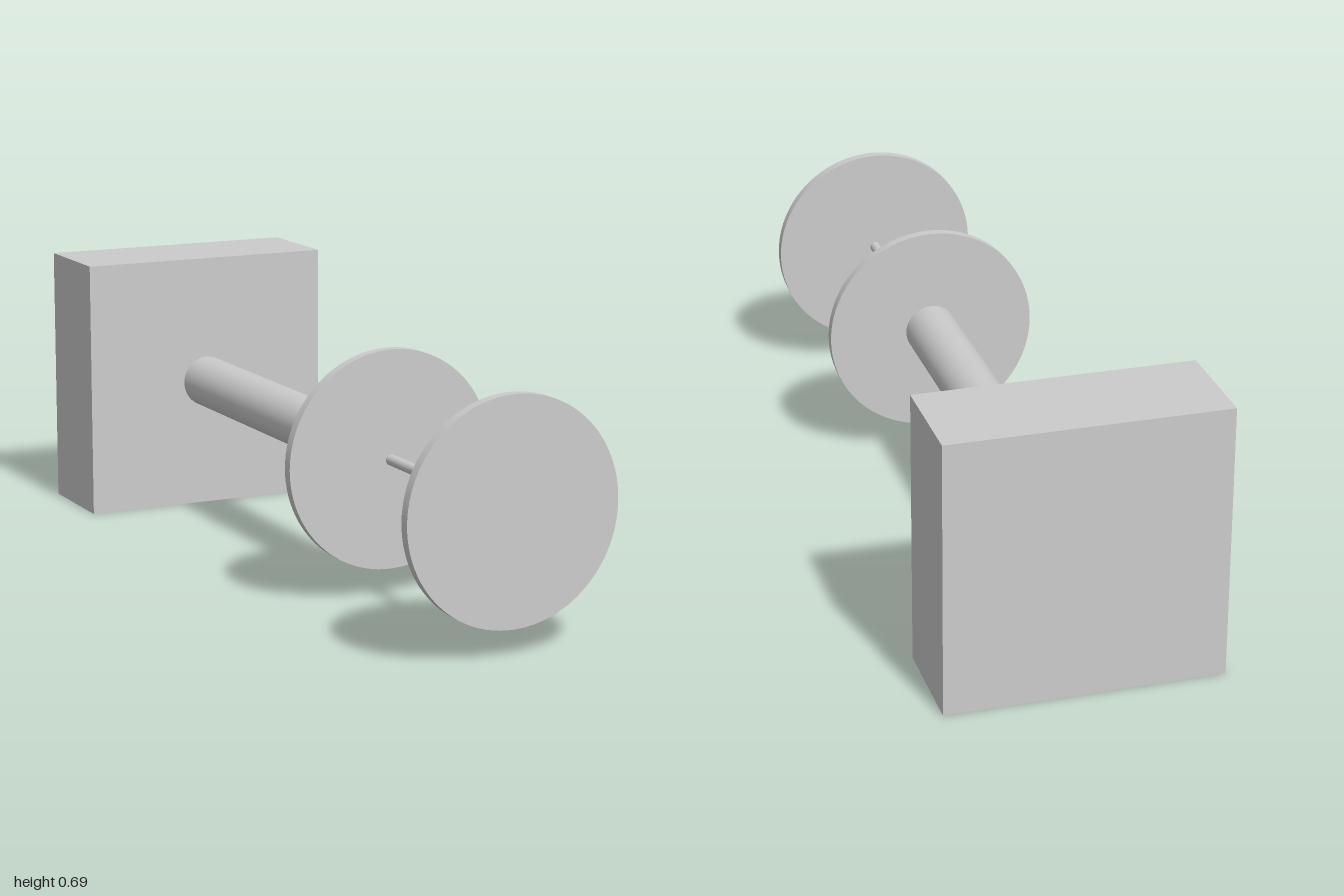
import * as THREE from 'three';

const CENTER_Y = 0.347;

export function createModel() {
  const group = new THREE.Group();
  const material = new THREE.MeshStandardMaterial({ color: 0xcccccc });

  const add = (name, geometry, z) => {
    const mesh = new THREE.Mesh(geometry, material);
    mesh.name = name;
    mesh.position.set(0, CENTER_Y, z);
    group.add(mesh);
  };

  // Round part lying along z, from z0 to z1
  const addRound = (name, radius, z0, z1, sides) => {
    const geometry = new THREE.CylinderGeometry(radius, radius, z1 - z0, sides);
    geometry.rotateX(Math.PI / 2);
    add(name, geometry, (z0 + z1) / 2);
  };

  // Square block at the back
  add('baseBlock', new THREE.BoxGeometry(0.693, 2 * CENTER_Y, 0.272), -0.864);

  // Thick shaft, two discs and the thin rod between them
  addRound('shaft', 0.069, -0.728, 0.363, 64);
  addRound('middleDisc', 0.277, 0.363, 0.39, 96);
  addRound('rod', 0.014, 0.39, 0.973, 32);
  addRound('frontDisc', 0.277, 0.973, 1, 96);

  return group;
}
